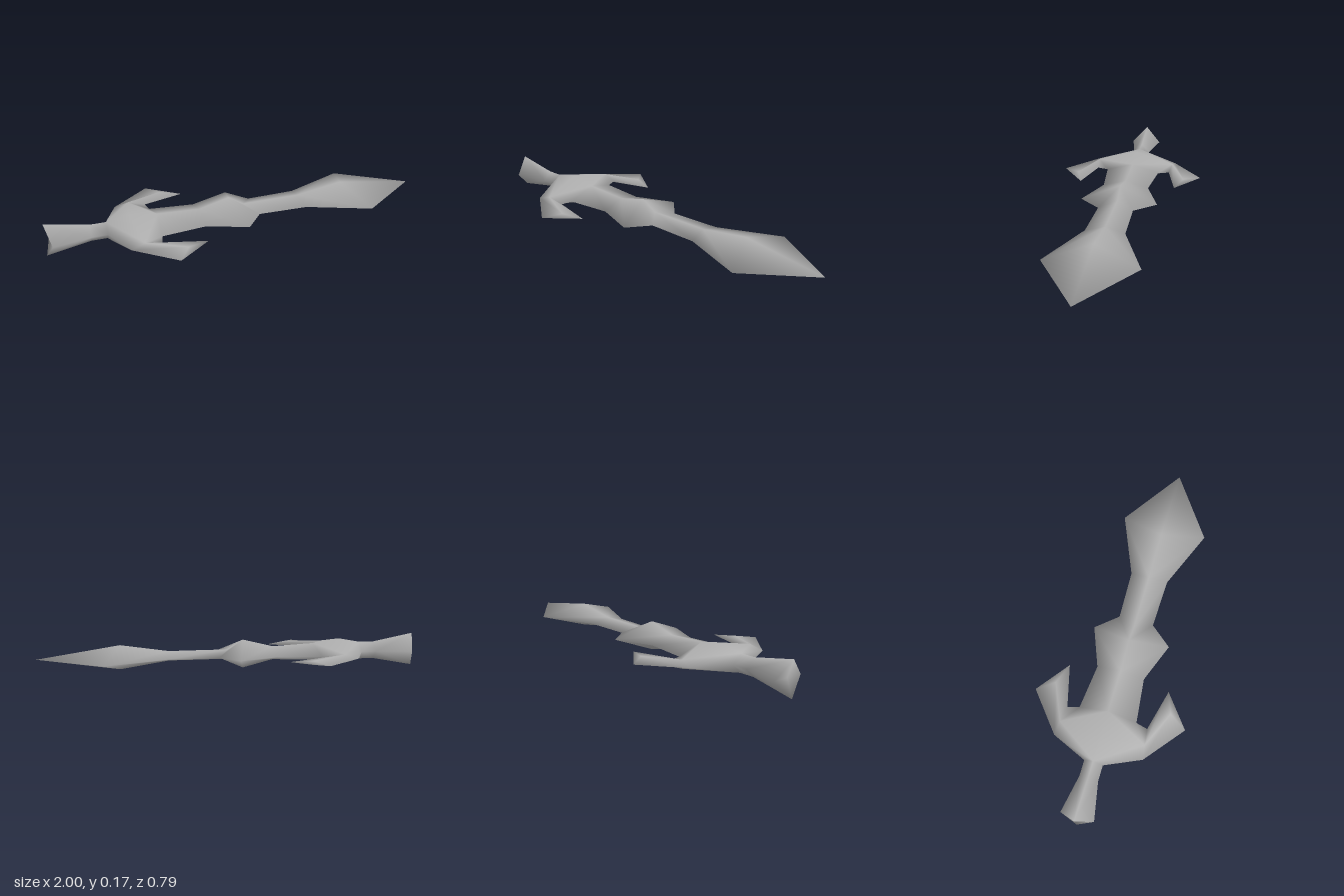
import * as THREE from 'three';
import { mergeVertices } from 'three/addons/utils/BufferGeometryUtils.js';

const MID = 0.0875; // height of the cutting-edge plane

// All points are for the upper, +z quarter: [x, height above mid plane, z]
const ridge = (x, h) => [x, h, 0];
const edge = (x, z) => [x, 0, z];

// Skin between a ridge line and an edge line
function strip(ridges, edges) {
  const tris = [];
  for (let i = 0; i < ridges.length - 1; i++) {
    tris.push([ridges[i], edges[i], edges[i + 1]]);
    if (i < ridges.length - 2 || ridges[i + 1] !== edges[i + 1]) {
      tris.push([ridges[i], edges[i + 1], ridges[i + 1]]);
    }
  }
  return tris;
}

// Grip with flared, notched pommel
const gripRidge = [ridge(-1, 0.0875), ridge(-0.78, 0.046), ridge(-0.7, 0.046)];
const gripEdge = [edge(-0.97, 0.085), edge(-0.78, 0.048), edge(-0.7, 0.048)];
const grip = strip(gripRidge, gripEdge);
grip.push([[-0.97, 0, 0], gripEdge[0], gripRidge[0]]);

// Blade, tapering through two swells to the point
const tip = [1, 0, 0];
const bladeRidge = [
  ridge(-0.44, 0.046), ridge(-0.22, 0.035), ridge(-0.06, 0.075),
  ridge(0.02, 0.025), ridge(0.33, 0.025), ridge(0.58, 0.063), tip,
];
const bladeEdge = [
  edge(-0.45, 0.15), edge(-0.22, 0.125), edge(-0.015, 0.204),
  edge(0.08, 0.092), edge(0.34, 0.1), edge(0.66, 0.23), tip,
];
const blade = strip(bladeRidge, bladeEdge);

// Guard body and its hooked arm
const A = gripRidge[2], B = gripEdge[2], D = bladeRidge[0], E = bladeEdge[0];
const C = ridge(-0.585, 0.068);
const outer1 = edge(-0.62, 0.23), outer2 = edge(-0.42, 0.395);
const inner1 = edge(-0.465, 0.21), hookTip = edge(-0.25, 0.265);
const top1 = [-0.55, 0.021, 0.22], top2 = [-0.36, 0.01, 0.305];
const guard = [
  [A, B, outer1], [A, outer1, top1], [A, top1, C], [C, top1, D],
  [D, top1, E], [top1, inner1, E],
  [outer1, outer2, top2], [outer1, top2, top1],
  [top1, top2, hookTip], [top1, hookTip, inner1], [outer2, hookTip, top2],
];

export function createModel() {
  const steel = new THREE.MeshStandardMaterial({ color: 0xb0b0b0 });
  steel.name = 'steel grey';

  // Mirror every quarter up/down and left/right, noting each part's range
  const parts = { grip, guard, blade };
  const positions = [];
  const ranges = [];
  for (const [name, tris] of Object.entries(parts)) {
    const start = positions.length / 3;
    for (const sy of [1, -1]) {
      for (const sz of [1, -1]) {
        for (const [a, b, c] of tris) {
          for (const p of sy * sz > 0 ? [a, b, c] : [a, c, b]) {
            positions.push(p[0], MID + sy * p[1], sz * p[2]);
          }
        }
      }
    }
    ranges.push({ name, start, end: positions.length / 3 });
  }

  // Smooth normals run on across the joints between parts
  const raw = new THREE.BufferGeometry();
  raw.setAttribute('position', new THREE.Float32BufferAttribute(positions, 3));
  const whole = mergeVertices(raw, 1e-4);
  whole.computeVertexNormals();
  const index = Array.from(whole.index.array);

  const group = new THREE.Group();
  group.name = 'sword';
  for (const { name, start, end } of ranges) {
    const part = whole.clone();
    part.setIndex(index.slice(start, end));
    const mesh = new THREE.Mesh(part.toNonIndexed(), steel);
    mesh.name = name;
    group.add(mesh);
  }
  return group;
}
